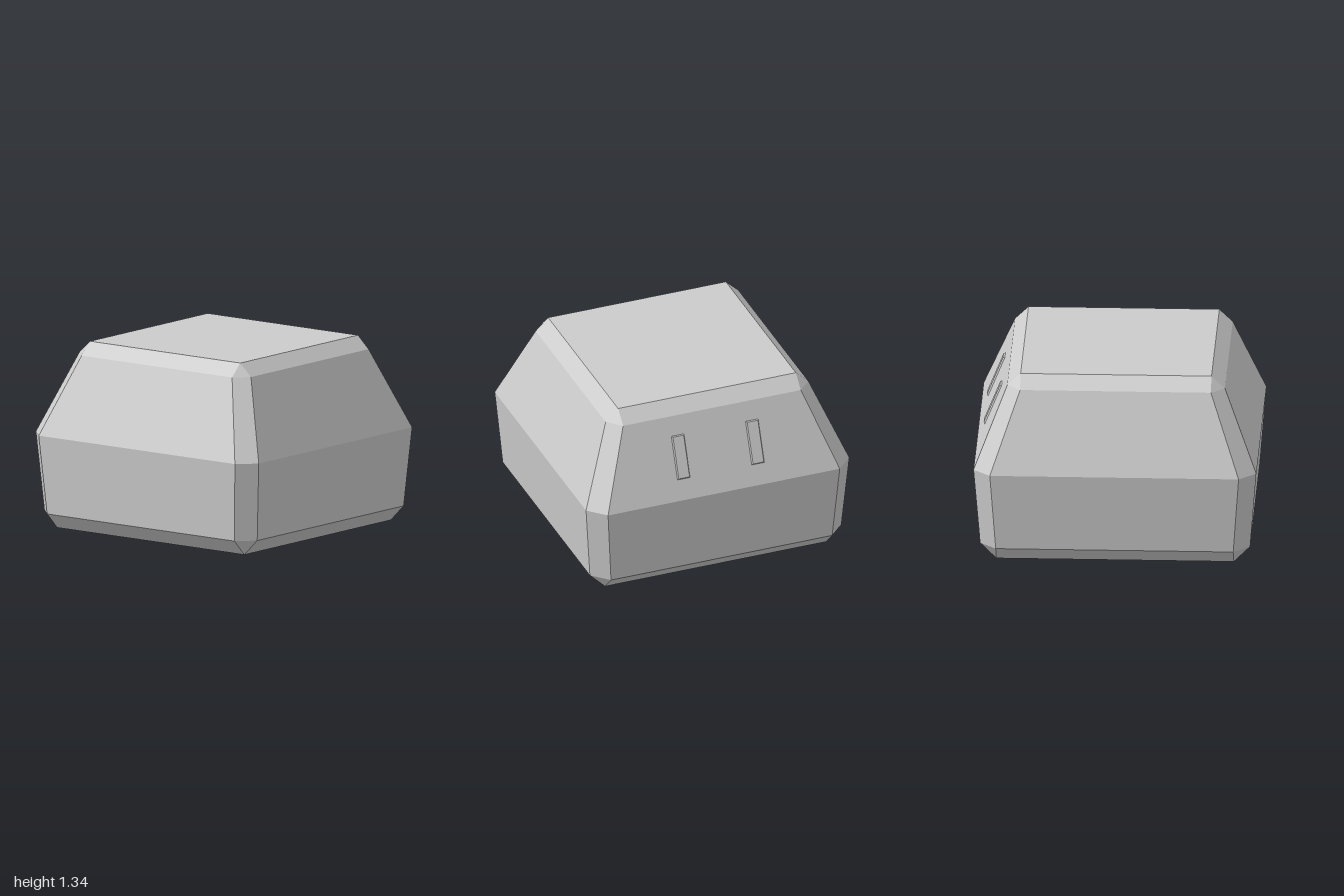
import * as THREE from 'three';

const material = new THREE.MeshStandardMaterial({ color: 0xcccccc, flatShading: true });

// Cross-sections of the body: height, half width, half length of the straight side
const SECTIONS = [
  [0, 0.84, 0.84],
  [0.115, 0.955, 0.84],
  [0.68, 1, 0.88],
  [1.245, 0.77, 0.675],
  [1.335, 0.675, 0.675],
];

// Square with chamfered corners, counter-clockwise seen from above
function ring([y, o, i]) {
  return [[o, i], [o, -i], [i, -o], [-i, -o], [-o, -i], [-o, i], [-i, o], [i, o]]
    .map(([x, z]) => new THREE.Vector3(x, y, z));
}

function bodyGeometry() {
  const rings = SECTIONS.map(ring);
  const points = [];
  const triangle = (a, b, c) => {
    if (!a.equals(b) && !b.equals(c) && !c.equals(a)) points.push(a, b, c);
  };
  // Walls between neighbouring sections
  for (let s = 0; s < rings.length - 1; s++) {
    const low = rings[s], high = rings[s + 1];
    for (let j = 0; j < 8; j++) {
      const k = (j + 1) % 8;
      triangle(low[j], low[k], high[k]);
      triangle(low[j], high[k], high[j]);
    }
  }
  // Flat top and underside
  const bottom = rings[0], top = rings[rings.length - 1];
  for (let j = 1; j < 7; j++) {
    triangle(top[0], top[j], top[j + 1]);
    triangle(bottom[0], bottom[j + 1], bottom[j]);
  }
  const geometry = new THREE.BufferGeometry().setFromPoints(points);
  geometry.computeVertexNormals();
  return geometry;
}

// Thin plate whose outer face is smaller than its base
function plateGeometry(width, height, depth, bevel) {
  const geometry = new THREE.BoxGeometry(width, height, depth).toNonIndexed();
  const p = geometry.attributes.position;
  for (let i = 0; i < p.count; i++) {
    if (p.getZ(i) > 0) {
      p.setX(i, p.getX(i) - Math.sign(p.getX(i)) * bevel);
      p.setY(i, p.getY(i) - Math.sign(p.getY(i)) * bevel);
    }
  }
  geometry.computeVertexNormals();
  return geometry;
}

export function createModel() {
  const model = new THREE.Group();
  model.name = 'chamferedBlock';

  const body = new THREE.Mesh(bodyGeometry(), material);
  body.name = 'body';
  model.add(body);

  // Two raised plates lying on the sloping back face
  const plate = plateGeometry(0.11, 0.33, 0.024, 0.014);
  const normal = new THREE.Vector3(0, 0.23, -0.565).normalize();
  for (const side of [-1, 1]) {
    const mesh = new THREE.Mesh(plate, material);
    mesh.name = side > 0 ? 'leftBackPlate' : 'rightBackPlate';
    mesh.position.set(side * 0.282, 0.967, -0.883);
    mesh.lookAt(mesh.position.clone().add(normal));
    model.add(mesh);
  }
  return model;
}
